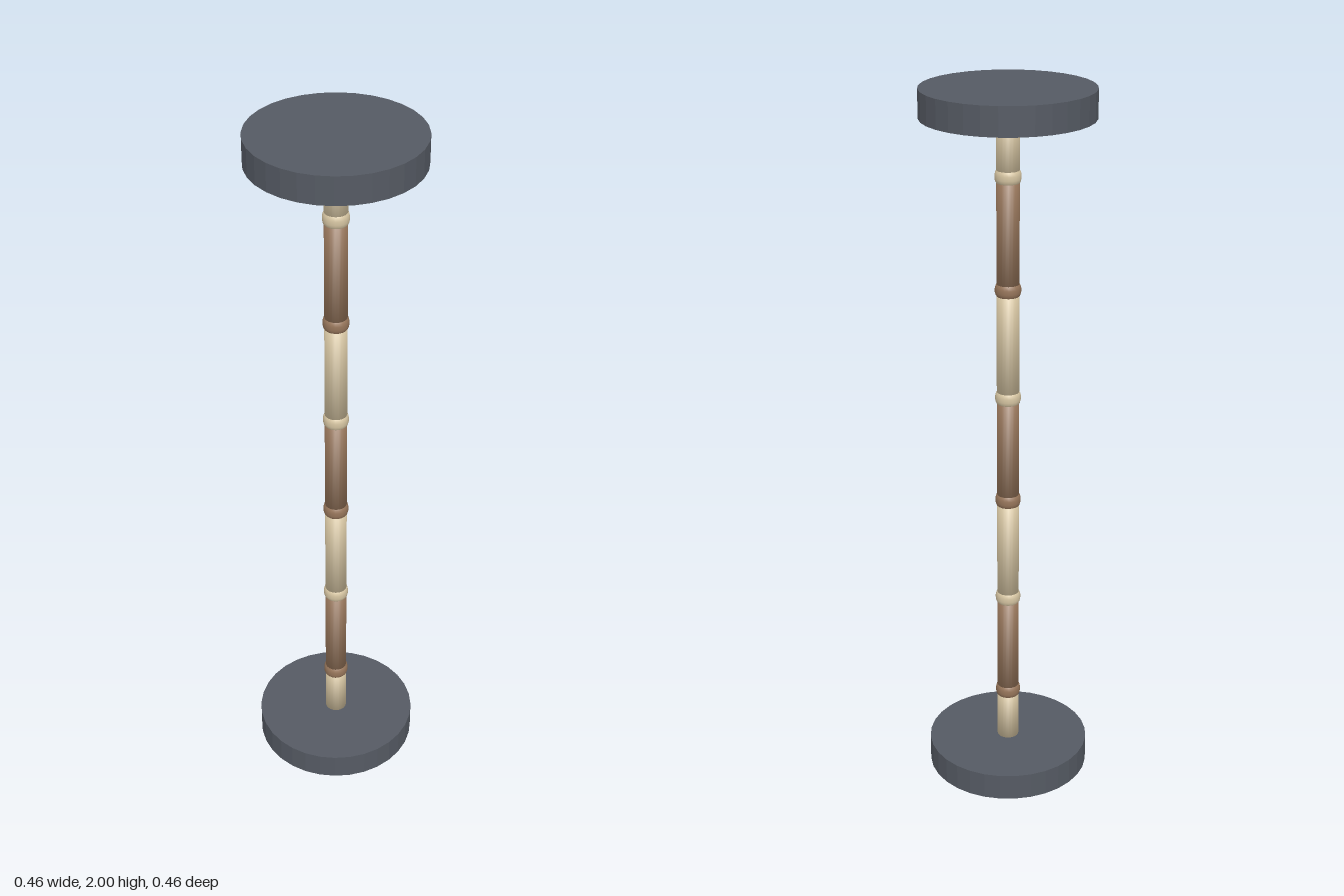
import * as THREE from 'three';

const UNIT = 2 / 26; // end disc thickness; every other size follows from it

export function createModel() {
  const model = new THREE.Group();
  model.name = 'segmentedPole';

  const slate = new THREE.MeshStandardMaterial({ name: 'slate grey', color: 0x555a63, flatShading: true });
  const cream = new THREE.MeshStandardMaterial({ name: 'cream', color: 0xd6c5a2 });
  const brown = new THREE.MeshStandardMaterial({ name: 'brown', color: 0x96755a });

  function add(name, geometry, material, y) {
    const mesh = new THREE.Mesh(geometry, material);
    mesh.name = name;
    mesh.position.y = y;
    model.add(mesh);
  }

  // Rod section whose normals lean outward at the rims for a softly rounded shade
  function rodGeometry(length) {
    const geometry = new THREE.CylinderGeometry(0.4 * UNIT, 0.4 * UNIT, length, 20, 1, true);
    const { position, normal } = geometry.attributes;
    const n = new THREE.Vector3();
    for (let i = 0; i < normal.count; i++) {
      n.fromBufferAttribute(normal, i);
      n.y = Math.sign(position.getY(i)) * 0.7;
      n.normalize();
      normal.setXYZ(i, n.x, n.y, n.z);
    }
    return geometry;
  }

  // Matching discs at both ends
  const disc = new THREE.CylinderGeometry(3 * UNIT, 3 * UNIT, UNIT, 32);
  add('bottomDisc', disc, slate, UNIT / 2);
  add('topDisc', disc, slate, 2 - UNIT / 2);

  // Rod sections alternate colour, with half-length sections at the ends
  const ringHeights = Array.from({ length: 6 }, (_, i) => (3 + 4 * i) * UNIT);
  const joints = [UNIT, ...ringHeights, 2 - UNIT];
  for (let i = 0; i < joints.length - 1; i++) {
    const low = joints[i], high = joints[i + 1];
    add(`rodSection${i + 1}`, rodGeometry(high - low), i % 2 ? brown : cream, (low + high) / 2);
  }

  // Slightly bulging ring over every joint
  const profile = [[0.39, -0.23], [0.435, -0.17], [0.46, -0.07], [0.46, 0.07], [0.435, 0.17], [0.39, 0.23]]
    .map(([r, y]) => new THREE.Vector2(r * UNIT, y * UNIT));
  const ring = new THREE.LatheGeometry(profile, 20);
  ringHeights.forEach((y, i) => add(`jointRing${i + 1}`, ring, i % 2 ? cream : brown, y));

  return model;
}
